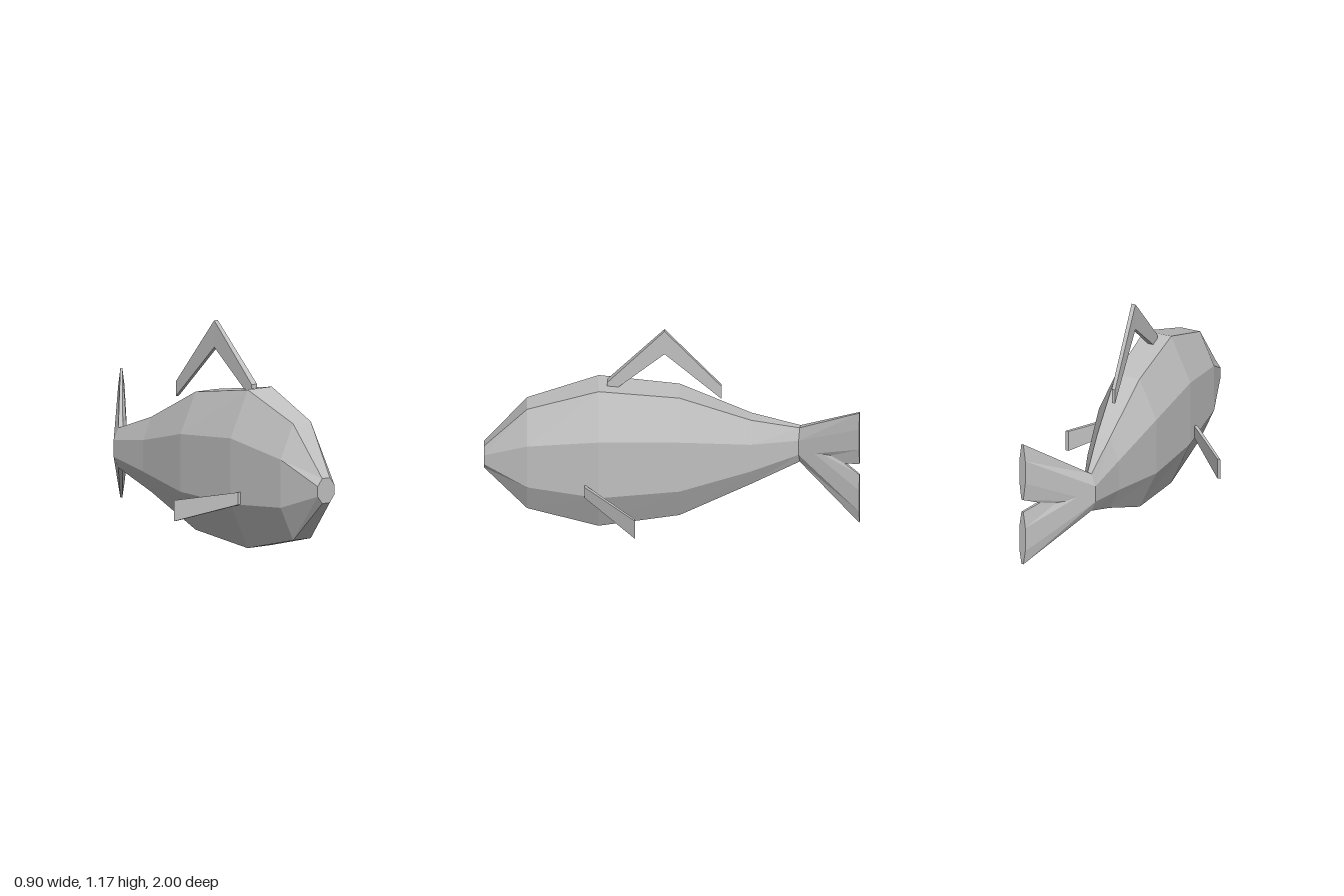
import * as THREE from 'three';

const bodyGrey = new THREE.MeshStandardMaterial({ color: 0xc0c0c0, flatShading: true });
bodyGrey.name = 'fishGrey';

// Skin a run of rings (each counter-clockwise seen from its start) and cap both ends.
function loft(name, rings) {
  const n = rings[0].length;
  const index = [];
  for (let r = 0; r < rings.length - 1; r++) {
    for (let i = 0; i < n; i++) {
      const j = (i + 1) % n;
      const a = r * n + i, d = r * n + j, b = a + n, c = d + n;
      index.push(a, b, c, a, c, d);
    }
  }
  const last = (rings.length - 1) * n;
  for (let i = 1; i < n - 1; i++) {
    index.push(0, i, i + 1, last, last + i + 1, last + i);
  }
  const indexed = new THREE.BufferGeometry();
  indexed.setAttribute('position', new THREE.Float32BufferAttribute(rings.flat(2), 3));
  indexed.setIndex(index);
  const geometry = indexed.toNonIndexed();
  geometry.computeVertexNormals();
  const mesh = new THREE.Mesh(geometry, bodyGrey);
  mesh.name = name;
  return mesh;
}

// Eight-sided section from four x stops and four y stops; skew turns it slightly in z.
function octagon(z, [x0, x1, x2, x3], [y0, y1, y2, y3], skew = 0) {
  const zAt = (x) => z + skew * (x - x3);
  return [[x3, y1], [x3, y2], [x2, y3], [x1, y3], [x0, y2], [x0, y1], [x1, y0], [x2, y0]]
    .map(([x, y]) => [x, y, zAt(x)]);
}

// Four-sided section for the fins.
function slab(z, xInner, xOuter, yLow, yHigh) {
  return [[xOuter, yLow, z], [xOuter, yHigh, z], [xInner, yHigh, z], [xInner, yLow, z]];
}

export function createModel() {
  const fish = new THREE.Group();
  fish.name = 'fish';

  // Body, nose to tail root, bending sideways toward the back
  const tailRoot = octagon(-0.672, [-0.165, -0.138, -0.112, -0.085], [0.285, 0.345, 0.435, 0.5], 0.2);
  fish.add(loft('body', [
    octagon(1.0, [-0.07, -0.04, 0.01, 0.04], [0.325, 0.365, 0.42, 0.46]),
    octagon(0.77, [-0.145, -0.062, 0.055, 0.135], [0.095, 0.28, 0.54, 0.725]),
    octagon(0.39, [-0.193, -0.08, 0.08, 0.193], [0, 0.25, 0.605, 0.855]),
    octagon(-0.04, [-0.205, -0.105, 0.035, 0.135], [0.04, 0.255, 0.567, 0.785]),
    octagon(-0.42, [-0.17, -0.115, -0.04, 0.015], [0.19, 0.305, 0.475, 0.595]),
    tailRoot,
  ]));

  // Tail lobes, both growing from the tail root
  const tipX = [0.097, 0.11, 0.122, 0.135];
  const tail = new THREE.Group();
  tail.name = 'tail';
  tail.add(loft('upperTailLobe', [tailRoot, octagon(-0.994, tipX, [0.425, 0.525, 0.655, 0.75], 0.15)]));
  tail.add(loft('lowerTailLobe', [tailRoot, octagon(-0.994, tipX, [0.05, 0.13, 0.265, 0.355], 0.15)]));
  fish.add(tail);

  // Bent back fin
  fish.add(loft('backFin', [
    slab(0.345, -0.02, 0.015, 0.79, 0.87),
    slab(0.04, -0.041, -0.018, 1.03, 1.175),
    slab(-0.262, -0.07, -0.05, 0.725, 0.805),
  ]));

  // Side fins; the mirrored one reverses its corners to keep faces outward
  for (const [name, side, tipZ] of [['leftFin', 1, 0.195], ['rightFin', -1, 0.23]]) {
    const rings = [slab(0.465, 0.175, 0.2, 0.258, 0.325), slab(tipZ, 0.432, 0.45, 0.162, 0.275)];
    fish.add(loft(name, side > 0 ? rings
      : rings.map((ring) => ring.map(([x, y, z]) => [-x, y, z]).reverse())));
  }

  return fish;
}
